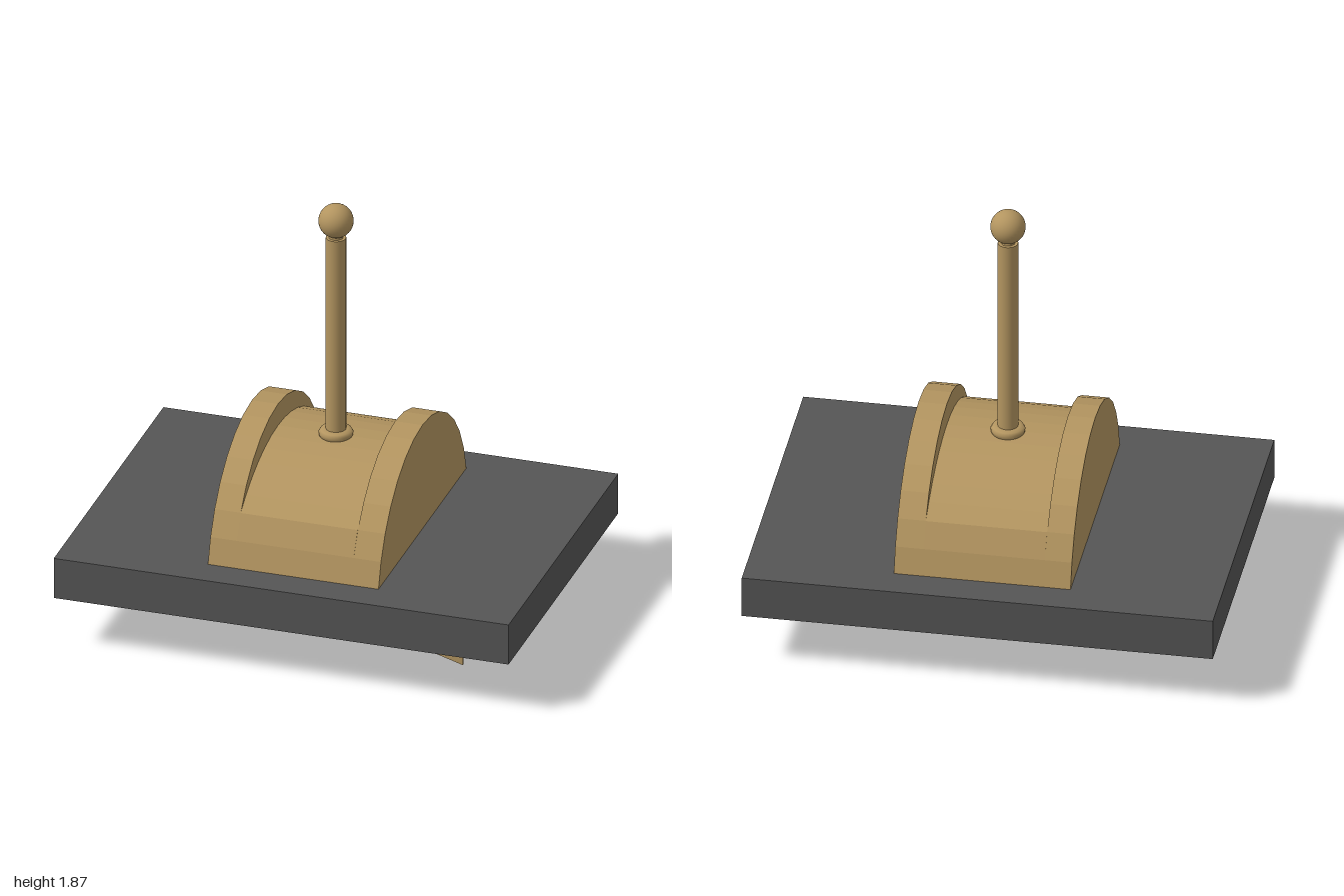
import * as THREE from 'three';

export function createModel() {
  const model = new THREE.Group();
  const brass = new THREE.MeshStandardMaterial({ color: 0xb39560, flatShading: true, side: THREE.DoubleSide });
  brass.name = 'brass';
  const smoothBrass = brass.clone();
  smoothBrass.flatShading = false;
  smoothBrass.name = 'brass smooth';
  const grey = new THREE.MeshStandardMaterial({ color: 0x555555 });
  grey.name = 'dark grey';

  const add = (name, geometry, material, x = 0, y = 0, z = 0) => {
    const mesh = new THREE.Mesh(geometry, material);
    mesh.name = name;
    mesh.position.set(x, y, z);
    model.add(mesh);
    return mesh;
  };

  // Base slab
  add('base', new THREE.BoxGeometry(2, 0.185, 1.48), grey, 0, 0.3225, 0);

  // Side profile (z, y) swept along x between two positions
  const sweep = (name, points, x0, x1) => {
    const shape = new THREE.Shape(points.map(([z, y]) => new THREE.Vector2(-z, y)));
    const geo = new THREE.ExtrudeGeometry(shape, { depth: x1 - x0, bevelEnabled: false });
    geo.rotateY(Math.PI / 2);
    add(name, geo, brass, x0, 0, 0);
  };

  // Faceted half drum: radius 0.605 about y = 0.295
  const R = 0.605, CY = 0.295;
  const arc = [];
  for (let i = -8; i <= 8; i++) {
    const a = (i * Math.PI) / 16;
    arc.push([R * Math.sin(a), CY + R * Math.cos(a)]);
  }
  sweep('rightCheek', arc, -0.37, -0.255);
  sweep('leftCheek', arc, 0.26, 0.38);

  // Lowered middle of the drum: outer lip, then a shallower arc
  const middle = arc.filter(([z]) => z < -0.51);
  const r = 0.84, cy = -0.04, lip = Math.asin(0.505 / r);
  for (let i = -6; i <= 6; i++) {
    const a = (lip * i) / 6;
    middle.push([r * Math.sin(a), cy + r * Math.cos(a)]);
  }
  middle.push(...arc.filter(([z]) => z > 0.51));
  sweep('drumMiddle', middle, -0.255, 0.26);

  // Thin skirts showing under the base
  add('backSkirt', new THREE.BoxGeometry(0.75, 0.1, 0.006), brass, 0.005, 0.25, -0.597);
  const skirt = new THREE.Shape([
    [0, 0.235], [0.08, 0.21], [0.5, 0.2], [0.755, 0.125], [0.755, 0.235],
  ].map(([x, y]) => new THREE.Vector2(x, y)));
  add('frontSkirt', new THREE.ExtrudeGeometry(skirt, { depth: 0.007, bevelEnabled: false }),
    brass, 0, 0, 0.599);

  // Lever rod, collar, neck and knob
  add('leverRod', new THREE.CylinderGeometry(0.043, 0.043, 1.72, 32), smoothBrass, 0, 0.86, 0);
  const collar = [[0, 0.79], [0.07, 0.79], [0.073, 0.812], [0.066, 0.824], [0.05, 0.828], [0.04, 0.828]];
  add('collar', new THREE.LatheGeometry(collar.map(([x, y]) => new THREE.Vector2(x, y)), 32), smoothBrass);
  add('knobNeck', new THREE.CylinderGeometry(0.03, 0.03, 0.04, 24), smoothBrass, 0, 1.73, 0);
  add('knob', new THREE.SphereGeometry(0.074, 32, 20), smoothBrass, 0, 1.798, 0);

  return model;
}
